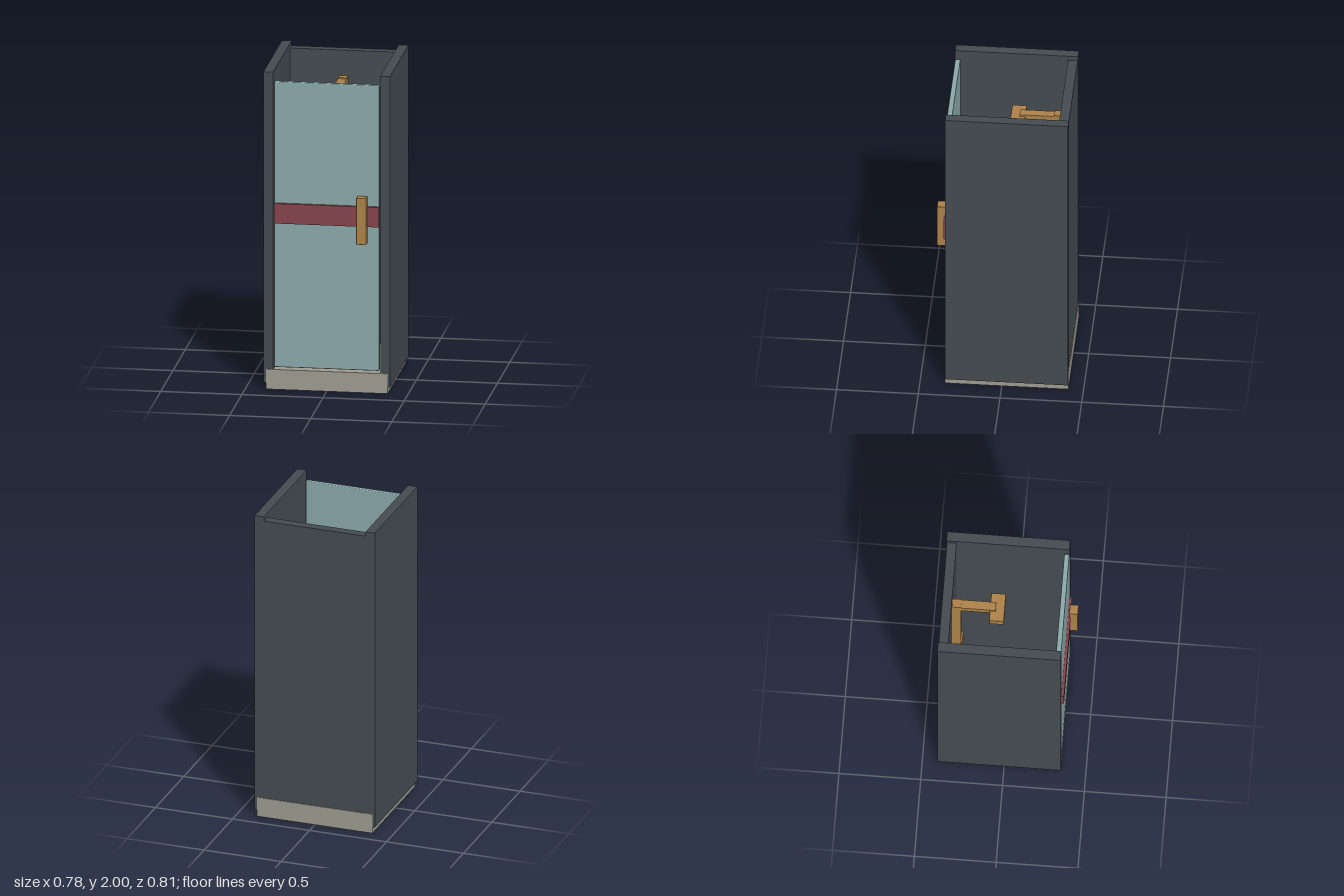
import * as THREE from 'three';
import { RoundedBoxGeometry } from 'three/addons/geometries/RoundedBoxGeometry.js';

const mat = (name, color) => {
  const m = new THREE.MeshStandardMaterial({ color });
  m.name = name;
  return m;
};

export function createModel() {
  const slate = mat('slate', 0x444b50);
  const stone = mat('stone', 0x9d9b90);
  const glass = mat('teal glass', 0x8aa8a9);
  const red = mat('dark red', 0x86424b);
  const brass = mat('brass', 0xad8249);

  const cabin = new THREE.Group();
  cabin.name = 'showerCabin';

  // Box given by its limits on each axis, with optional rounded edges
  const box = (name, material, [x0, x1], [y0, y1], [z0, z1], radius = 0) => {
    const size = [x1 - x0, y1 - y0, z1 - z0];
    const geometry = radius
      ? new RoundedBoxGeometry(...size, 2, radius)
      : new THREE.BoxGeometry(...size);
    const mesh = new THREE.Mesh(geometry, material);
    mesh.name = name;
    mesh.position.set((x0 + x1) / 2, (y0 + y1) / 2, (z0 + z1) / 2);
    cabin.add(mesh);
  };

  // Tray and square drain in its middle
  box('tray', stone, [-0.375, 0.375], [0, 0.125], [-0.408, 0.347]);
  box('drain', slate, [-0.083, 0.083], [0.12, 0.137], [-0.114, 0.051]);

  // Walls
  box('leftWall', slate, [0.33, 0.39], [0.04, 2], [-0.407, 0.345]);
  box('rightWall', slate, [-0.39, -0.33], [0.04, 2], [-0.407, 0.345]);
  box('backWall', slate, [-0.33, 0.33], [0.1, 1.97], [-0.404, -0.345]);

  // Door with its band and handle
  box('door', glass, [-0.324, 0.324], [0.14, 1.94], [0.313, 0.345], 0.006);
  box('doorBand', red, [-0.323, 0.323], [1.05, 1.176], [0.342, 0.362]);
  box('doorHandle', brass, [0.19, 0.252], [0.948, 1.242], [0.354, 0.407], 0.003);

  // Shower fittings on the back wall
  box('mixer', brass, [-0.083, 0.083], [1.0, 1.1], [-0.346, -0.283], 0.005);
  box('riser', brass, [-0.027, 0.027], [1.05, 1.81], [-0.346, -0.291]);
  box('showerArm', brass, [-0.027, 0.027], [1.755, 1.803], [-0.3, -0.079]);
  box('showerHead', brass, [-0.091, 0.091], [1.735, 1.79], [-0.115, -0.024], 0.005);

  return cabin;
}
